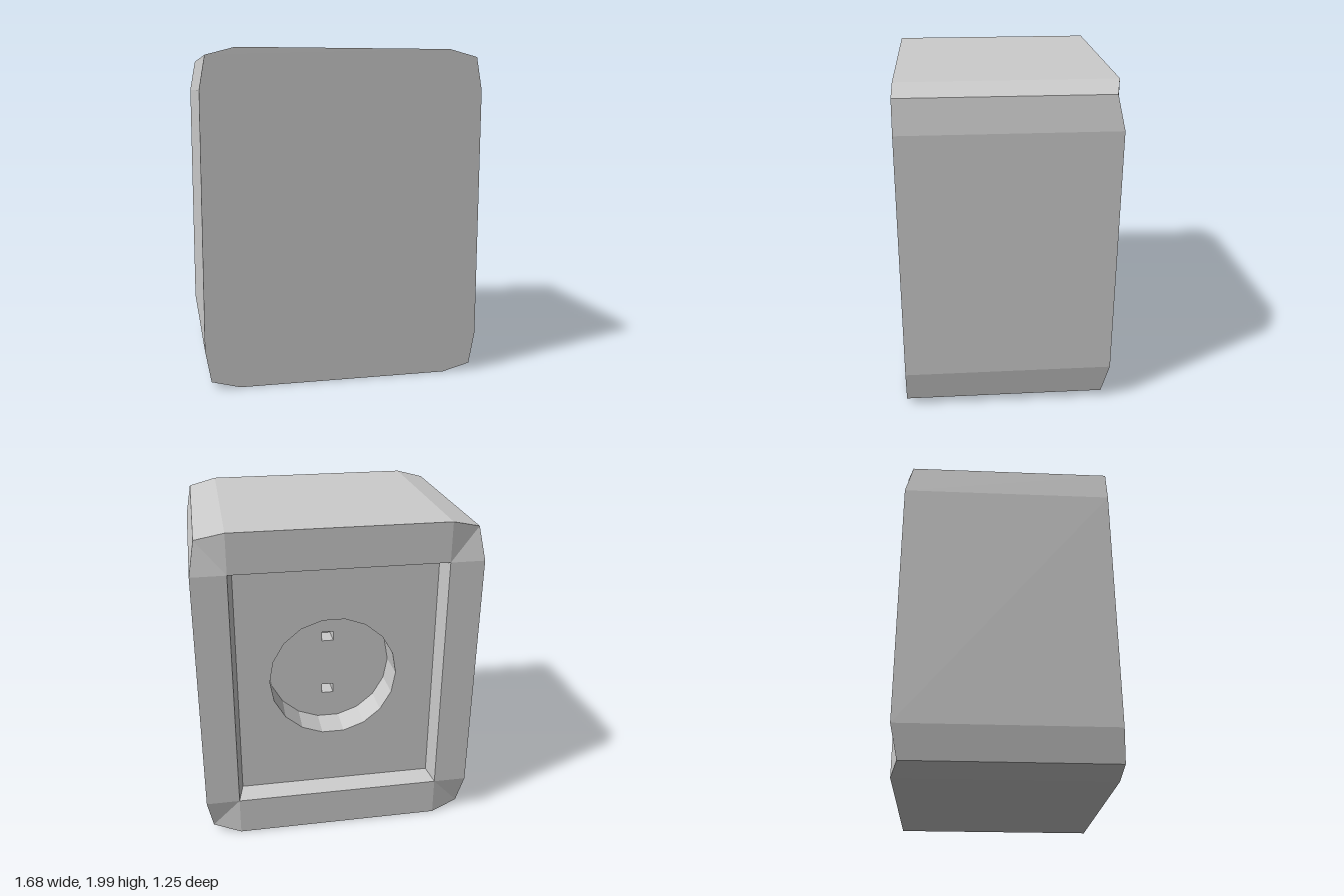
import * as THREE from 'three';

const material = new THREE.MeshStandardMaterial({ color: 0xcccccc, flatShading: true });
const V = (x, y, z) => new THREE.Vector3(x, y, z);

// Quads between two matching loops; the first loop lies before the second, both counter-clockwise from the front
function bridge(a, b) {
  const pos = [];
  const tri = (p, q, r) => {
    if (p.equals(q) || q.equals(r) || r.equals(p)) return;
    for (const v of [p, q, r]) pos.push(v.x, v.y, v.z);
  };
  a.forEach((p, i) => {
    const j = (i + 1) % a.length;
    tri(p, b[i], b[j]);
    tri(p, b[j], a[j]);
  });
  const g = new THREE.BufferGeometry();
  g.setAttribute('position', new THREE.Float32BufferAttribute(pos, 3));
  g.computeVertexNormals();
  return g;
}

// Flat face filling a loop, with optional holes, facing front or back
function cap(loop, facesBack, holes = []) {
  const to2D = l => l.map(p => new THREE.Vector2(p.x, p.y));
  const shape = new THREE.Shape(to2D(loop));
  shape.holes = holes.map(h => new THREE.Path(to2D(h)));
  const g = new THREE.ShapeGeometry(shape);
  if (facesBack) {
    g.setIndex(Array.from(g.index.array).reverse());
    g.computeVertexNormals();
  }
  return g.translate(0, 0, loop[0].z);
}

const rect = (cx, cy, hw, hh, z) =>
  [[1, 1], [-1, 1], [-1, -1], [1, -1]].map(([sx, sy]) => V(cx + sx * hw, cy + sy * hh, z));

const circle = (cx, cy, r, z, n = 18) => Array.from({ length: n }, (_, i) => {
  const t = i / n * Math.PI * 2;
  return V(cx + r * Math.cos(t), cy + r * Math.sin(t), z);
});

const atZ = (loop, z) => loop.map(p => V(p.x, p.y, z));

export function createModel() {
  const group = new THREE.Group();
  const add = (name, geometry) => {
    const mesh = new THREE.Mesh(geometry, material);
    mesh.name = name;
    group.add(mesh);
  };

  const midY = 1.005, front = 0.625, back = -0.625;
  const floorZ = -0.515, socketZ = -0.32, holeZ = -0.2;

  // Outline with softened corners; the corner tips stop short of the back
  const corner = [[0.84, 0.755, back], [0.805, 0.95, -0.583], [0.635, 0.995, back]];
  const outer = [], inner = [];
  for (const [sx, sy] of [[1, 1], [-1, 1], [-1, -1], [1, -1]]) {
    const points = corner.map(([x, y, z]) => V(sx * x, midY + sy * y, z));
    if (sx * sy < 0) points.reverse();
    outer.push(...points);
    for (let i = 0; i < 3; i++) inner.push(V(sx * 0.635, midY + sy * 0.755, back));
  }
  const frontLoop = atZ(outer, front);
  add('frontPanel', cap(frontLoop, false));
  add('sideWalls', bridge(frontLoop, outer));
  add('backFrame', bridge(outer, inner));

  // Recess in the back, slightly narrower at its floor
  const recessRim = rect(0, midY, 0.635, 0.755, back);
  const recessFloor = rect(0, midY, 0.605, 0.725, floorZ);
  const socketRim = circle(0.02, 1.02, 0.39, floorZ);
  add('recessWalls', bridge(recessRim, recessFloor));
  add('recessFloor', cap(recessFloor, true, [socketRim]));

  // Round socket with two square holes
  const socketFloor = circle(0.02, 1.02, 0.385, socketZ);
  const holes = [1, -1].map(s => rect(0.023, 1.024 + s * 0.184, 0.036, 0.03, socketZ));
  add('socketWall', bridge(socketRim, socketFloor));
  add('socketFloor', cap(socketFloor, true, holes));
  for (const hole of holes) {
    const end = atZ(hole, holeZ);
    add('contactHoleWalls', bridge(hole, end));
    add('contactHoleEnd', cap(end, true));
  }
  return group;
}
